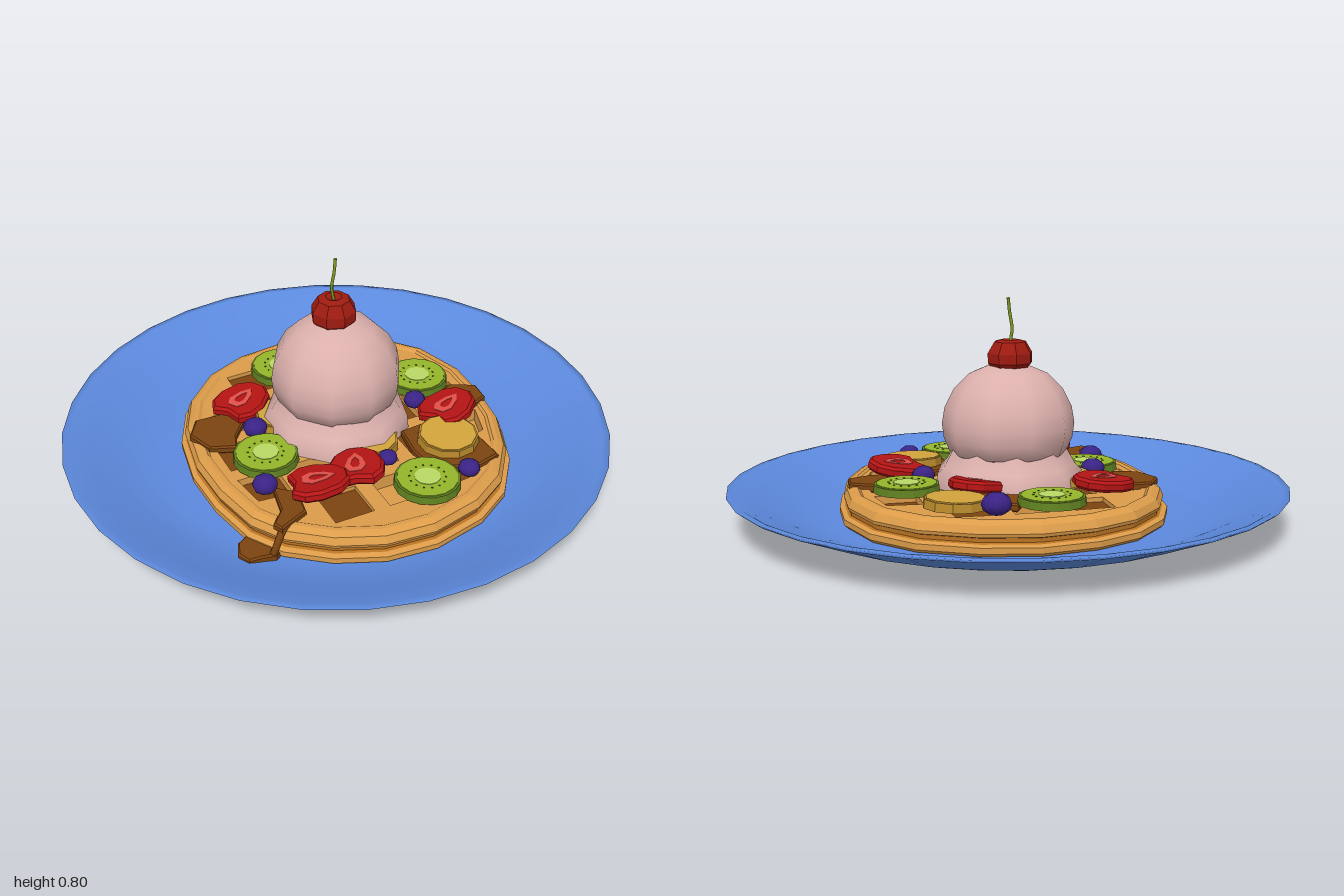
import * as THREE from 'three';

const COLORS = {
  plate: 0x5d8ade, waffle: 0xdc9c4a, toast: 0xb87222, syrup: 0x7d4410, cream: 0xdcb0ac,
  cherry: 0x9e1b10, stem: 0x7f9a20, berry: 0x3a2386, banana: 0xd4a43c, peel: 0xb98a2c,
  kiwi: 0x94b52a, kiwiCore: 0xb9d865, kiwiSkin: 0x5f8020, seed: 0x4a4a12,
  strawberry: 0xb51414, strawberryCore: 0xe2504a,
};

const mat = (color, flat = true) => new THREE.MeshStandardMaterial({
  color: COLORS[color], flatShading: flat, side: THREE.DoubleSide });

function mesh(name, geometry, color, flat) {
  const m = new THREE.Mesh(geometry, mat(color, flat));
  m.name = name;
  return m;
}

// Horizontal slab from [x, z] points, with optional holes
function slab(name, pts, y, h, color, holes = [], bevel = 0) {
  const v = (p) => new THREE.Vector2(p[0], -p[1]);
  const shape = new THREE.Shape(pts.map(v));
  shape.holes = holes.map((loop) => new THREE.Path(loop.map(v)));
  const geo = new THREE.ExtrudeGeometry(shape, {
    depth: h, bevelEnabled: bevel > 0, bevelSize: bevel, bevelThickness: bevel, bevelOffset: -bevel, bevelSegments: 1 });
  geo.rotateX(-Math.PI / 2).translate(0, y, 0);
  return mesh(name, geo, color);
}

// Irregular round waffle outline, relative to its centre
const CX = 0.045;
const OUTLINE = [[-0.06, -0.63], [0.15, -0.6], [0.31, -0.52], [0.46, -0.42], [0.58, -0.29], [0.67, -0.12],
  [0.69, 0.05], [0.65, 0.25], [0.56, 0.41], [0.43, 0.53], [0.28, 0.61], [0.14, 0.63], [-0.05, 0.59],
  [-0.23, 0.52], [-0.41, 0.4], [-0.53, 0.26], [-0.6, 0.08], [-0.6, -0.1], [-0.54, -0.29],
  [-0.42, -0.45], [-0.25, -0.58]].map(([x, z]) => [x - CX, z]);

// 0 at the waffle centre, 1 on the outline
function gauge([x, z]) {
  return Math.max(...OUTLINE.map((a, i) => {
    const b = OUTLINE[(i + 1) % OUTLINE.length];
    const nx = b[1] - a[1], nz = a[0] - b[0];
    return (nx * x + nz * z) / (nx * a[0] + nz * a[1]);
  }));
}
const scaled = (s) => OUTLINE.map(([x, z]) => [x * s, z * s]);

// Closed band through [scale, y] rings of the outline
function band(name, rings, color) {
  const pos = [], idx = [], n = OUTLINE.length;
  rings.forEach(([s, y]) => scaled(s).forEach(([x, z]) => pos.push(x, y, z)));
  for (let r = 0; r < rings.length - 1; r++) {
    for (let i = 0; i < n; i++) {
      const a = r * n + i, b = r * n + (i + 1) % n;
      idx.push(a, a + n, b, b, a + n, b + n);
    }
  }
  const geo = new THREE.BufferGeometry();
  geo.setAttribute('position', new THREE.Float32BufferAttribute(pos, 3));
  geo.setIndex(idx);
  geo.computeVertexNormals();
  return mesh(name, geo, color);
}

function createWaffle() {
  const g = new THREE.Group();
  g.name = 'waffle';
  g.position.x = CX;
  // Pockets on a turned grid, trimmed at the edge
  const pockets = [], pitch = 0.205, half = 0.073, turn = 0.42;
  for (let i = -3; i <= 3; i++) {
    for (let j = -3; j <= 3; j++) {
      const at = (dx, dz) => {
        const x = i * pitch + dx, z = j * pitch + dz;
        return [x * Math.cos(turn) - z * Math.sin(turn), x * Math.sin(turn) + z * Math.cos(turn)];
      };
      if (gauge(at(0, 0)) > 0.8) continue;
      pockets.push([[-half, -half], [half, -half], [half, half], [-half, half]].map(([dx, dz]) => {
        const p = at(dx, dz), k = Math.min(1, 0.85 / gauge(p));
        return [p[0] * k, p[1] * k];
      }));
    }
  }
  g.add(slab('waffleGrid', scaled(0.89), 0.08, 0.05, 'waffle', pockets));
  g.add(slab('waffleFloor', scaled(0.88), 0.03, 0.052, 'waffle'));
  g.add(band('lowerCrust', [[0.9, 0.022], [0.98, 0.028], [1, 0.04], [1, 0.06], [0.97, 0.066]], 'waffle'));
  g.add(band('crustGroove', [[0.97, 0.066], [0.955, 0.07], [0.955, 0.084], [0.97, 0.088]], 'toast'));
  g.add(band('upperCrust', [[0.97, 0.088], [0.975, 0.1], [0.955, 0.125], [0.92, 0.137], [0.895, 0.137], [0.875, 0.128]], 'waffle'));
  pockets.forEach((p, i) => {
    if (i % 3 !== 1) g.add(slab('pocketSyrup', p, 0.082, i % 2 ? 0.02 : 0.032, 'syrup'));
  });
  return g;
}

function disc(name, r, y, h, color, sides = 16) {
  const m = mesh(name, new THREE.CylinderGeometry(r * 0.97, r, h, sides), color);
  m.position.y = y + h / 2;
  return m;
}

function createKiwi() {
  const g = new THREE.Group();
  g.name = 'kiwiSlice';
  g.add(disc('kiwiSkin', 0.118, 0, 0.027, 'kiwiSkin'), disc('kiwiFlesh', 0.109, 0.005, 0.025, 'kiwi'),
    disc('kiwiCore', 0.048, 0.01, 0.022, 'kiwiCore', 10));
  for (let i = 0; i < 14; i++) {
    const a = i / 14 * Math.PI * 2, seed = disc('kiwiSeed', 0.004, 0.028, 0.004, 'seed', 5);
    seed.position.x = Math.cos(a) * 0.063;
    seed.position.z = Math.sin(a) * 0.063;
    g.add(seed);
  }
  return g;
}

function createBanana() {
  const g = new THREE.Group();
  g.name = 'bananaSlice';
  g.add(disc('bananaEdge', 0.112, 0, 0.03, 'peel', 11), disc('bananaFlesh', 0.105, 0.005, 0.029, 'banana', 11));
  return g;
}

// Heart-like half strawberry, tip towards -z
function createStrawberry() {
  const g = new THREE.Group();
  g.name = 'strawberrySlice';
  const right = [[0.03, -0.105], [0.075, -0.07], [0.1, 0], [0.095, 0.06], [0.06, 0.1]];
  const left = right.map(([x, z]) => [-x, z]).reverse();
  const outline = [...right, [0, 0.085], ...left];
  const core = [[0, -0.06], [0.025, -0.025], [0.037, 0.025], [0.02, 0.055], [-0.02, 0.055], [-0.037, 0.025], [-0.025, -0.025]];
  g.add(slab('strawberryFlesh', outline, 0.01, 0.02, 'strawberry', [], 0.01));
  g.add(slab('strawberryCore', core, 0.03, 0.012, 'strawberryCore', [core.map(([x, z]) => [x * 0.45, z * 0.55])]));
  return g;
}

export function createModel() {
  const model = new THREE.Group();
  model.name = 'waffleDessert';
  const put = (part, x, y, z, turn = 0, tiltX = 0, tiltZ = 0) => {
    part.position.set(x, y, z);
    part.rotation.set(tiltX, turn, tiltZ, 'YXZ');
    model.add(part);
  };
  const lathe = (pts, sides) => new THREE.LatheGeometry(pts.map((p) => new THREE.Vector2(...p)), sides);

  // Plate
  model.add(mesh('plate', lathe([[0, 0.006], [0.64, 0.006], [0.7, 0.014], [0.78, 0.04], [0.9, 0.09], [0.985, 0.125],
    [1, 0.137], [0.975, 0.137], [0.9, 0.105], [0.8, 0.063], [0.72, 0.036], [0.64, 0.025], [0, 0.025]], 32), 'plate', false));

  // Waffle, and the toasted streaks showing under the plate
  model.add(createWaffle());
  const under = (u, v) => [-0.82 * u + 0.57 * v, -0.57 * u - 0.82 * v];
  [[[-0.19, 0.66], [0.09, 0.66], [-0.12, -0.58], [-0.17, -0.58], [-0.1, 0.16], [-0.28, -0.56], [-0.38, -0.5],
    [-0.23, 0.3], [-0.44, 0.27], [-0.31, 0.5]], [[0.13, 0.16], [0.1, -0.6], [-0.02, -0.6]]].forEach((loop) =>
    model.add(slab('wafflePatch', loop.map((p) => under(...p)), 0, 0.01, 'waffle')));

  // Syrup pools, the drip over the edge and its puddle
  [[[-0.33, 0.25], [-0.24, 0.24], [-0.2, 0.32], [-0.15, 0.37], [-0.22, 0.44], [-0.33, 0.43], [-0.38, 0.35]],
    [[0.2, -0.44], [0.28, -0.5], [0.35, -0.46], [0.35, -0.36], [0.26, -0.3], [0.2, -0.34]],
    [[0.3, -0.25], [0.42, -0.26], [0.59, -0.19], [0.57, -0.08], [0.45, 0.02], [0.35, -0.01], [0.24, -0.08]],
    [[-0.33, -0.22], [-0.2, -0.3], [-0.05, -0.25], [-0.12, -0.14], [-0.25, -0.12]],
    [[0.1, 0.46], [0.18, 0.42], [0.27, 0.48], [0.27, 0.6], [0.23, 0.6], [0.2, 0.53]]].forEach((p) =>
    model.add(slab('syrupPool', p, 0.125, 0.018, 'syrup', [], 0.006)));
  const drip = new THREE.CatmullRomCurve3([[0.25, 0.135, 0.55], [0.26, 0.12, 0.595], [0.26, 0.08, 0.62], [0.25, 0.04, 0.63]]
    .map((p) => new THREE.Vector3(...p)));
  model.add(mesh('syrupDrip', new THREE.TubeGeometry(drip, 8, 0.014, 6), 'syrup', false));
  model.add(slab('syrupPuddle', [[0.12, 0.6], [0.26, 0.58], [0.27, 0.63], [0.24, 0.67], [0.22, 0.71], [0.17, 0.71],
    [0.13, 0.67]], 0.032, 0.018, 'syrup', [], 0.006));

  // Ice cream scoop and its melted skirt
  model.add(mesh('scoopSkirt', lathe([[0.27, 0.13], [0.265, 0.18], [0.24, 0.205], [0.215, 0.25], [0.2, 0.28]], 9), 'cream', false));
  model.add(mesh('scoop', lathe([[0.17, 0.235], [0.212, 0.25], [0.232, 0.3], [0.238, 0.35], [0.228, 0.41], [0.195, 0.475],
    [0.14, 0.53], [0.07, 0.56], [0, 0.568]], 10), 'cream', false));

  // Cherry with stem
  model.add(mesh('cherry', lathe([[0, 0.53], [0.055, 0.535], [0.082, 0.57], [0.082, 0.605], [0.058, 0.645], [0.03, 0.652],
    [0, 0.64]], 8).rotateY(Math.PI / 8).translate(-0.01, 0, 0), 'cherry'));
  const stem = new THREE.CatmullRomCurve3([[-0.01, 0.64, 0], [-0.014, 0.69, 0.006], [-0.007, 0.75, 0], [-0.007, 0.8, -0.006]]
    .map((p) => new THREE.Vector3(...p)));
  model.add(mesh('cherryStem', new THREE.TubeGeometry(stem, 8, 0.006, 5), 'stem', false));

  // Fruit toppings
  [[0.085, -0.385], [-0.365, -0.105], [0.49, 0.1], [-0.03, 0.35]].forEach(([x, z], i) =>
    put(createKiwi(), x, 0.142, z, i));
  [[-0.195, -0.38, 0.14], [0.405, -0.14, 0.15], [0.19, 0.05, 0.14], [-0.14, 0.13, 0.14]].forEach(([x, z, y], i) =>
    put(createBanana(), x, y, z, i, 0.04));
  [[0.31, 0.155, -0.28, 0, 0.12, 0.15], [-0.31, 0.145, 0.17, 0.1, 0.08, 0.05], [0.28, 0.16, 0.225, 0.7, -0.1, 0.15],
    [0.23, 0.155, 0.365, -0.7, 0.1, 0.15], [-0.09, 0.15, -0.21, 0.3, 0.15, 0]].forEach(([x, y, z, ...r]) =>
    put(createStrawberry(), x, y, z, ...r));
  [[-0.345, 0.17, -0.325, 0.052], [0.175, 0.165, -0.25, 0.042], [0.56, 0.155, -0.05, 0.04], [0.315, 0.165, 0.095, 0.035],
    [-0.155, 0.175, 0.27, 0.045], [0.08, 0.16, 0.475, 0.045]].forEach(([x, y, z, r]) => {
    const berry = mesh('blueberry', new THREE.SphereGeometry(r, 9, 6), 'berry', false);
    berry.scale.y = 0.75;
    put(berry, x, y, z);
  });
  return model;
}
